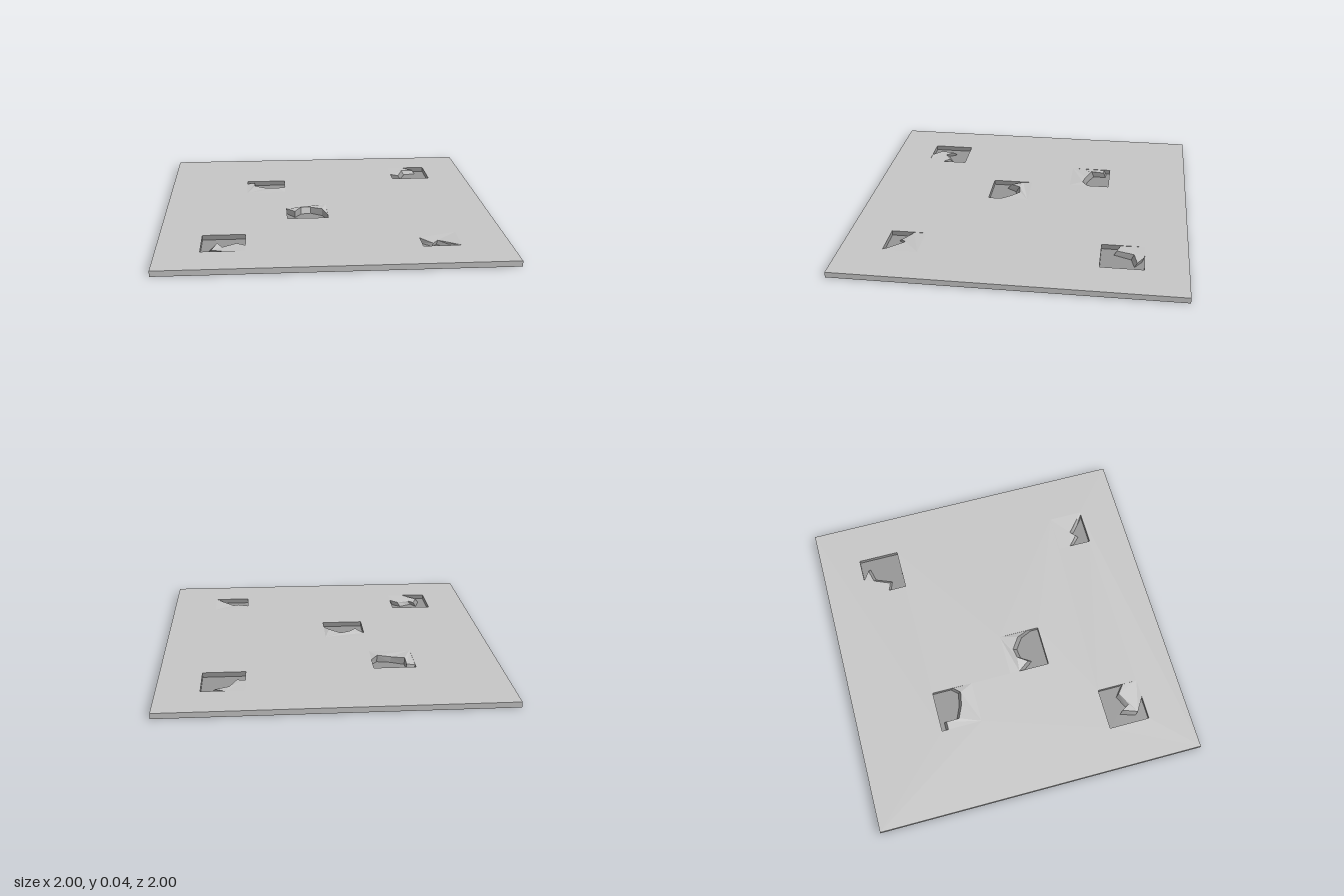
import * as THREE from 'three';

const TOP = 0.033, FLOOR = 0.004;

// Each pit: its rectangle [x0, z0, x1, z1], the broken edge across it [x, z], the height of
// that edge, the pit corners still covered by plates, and the lean of the broken face.
const pits = [
  {
    rect: [-0.5, -0.5, -0.25, -0.25], covered: [2, 3], crest: 0.037, lean: [0.005, -0.015],
    edge: [[-0.5, -0.46], [-0.45, -0.46], [-0.45, -0.38], [-0.37, -0.345], [-0.29, -0.33], [-0.25, -0.37]],
  },
  {
    rect: [0.5, -0.75, 0.75, -0.5], covered: [0], crest: 0.028, lean: [0.015, 0.015],
    edge: [[0.5, -0.61], [0.55, -0.59], [0.59, -0.69], [0.67, -0.71], [0.61, -0.75]],
  },
  {
    rect: [-0.25, 0, 0, 0.25], covered: [1, 0], crest: 0.038, lean: [0, 0.025],
    edge: [[-0.25, 0.06], [-0.2, 0.13], [-0.16, 0.07], [-0.1, 0.06], [-0.03, 0.11], [0, 0.18]],
  },
  {
    rect: [-0.75, 0.5, -0.5, 0.75], covered: [2], crest: 0.024, lean: [-0.015, -0.02],
    edge: [[-0.61, 0.75], [-0.69, 0.7], [-0.66, 0.61], [-0.63, 0.66], [-0.55, 0.62], [-0.5, 0.66]],
  },
  {
    rect: [0.5, 0.545, 0.72, 0.75], covered: [2, 1, 0], crest: 0.021, lean: [-0.01, 0.015],
    edge: [[0.5, 0.615], [0.57, 0.675], [0.6, 0.645], [0.65, 0.69], [0.705, 0.75]],
  },
];

const cornersOf = ([x0, z0, x1, z1]) => [[x0, z0], [x1, z0], [x1, z1], [x0, z1]];
const flat = (points) => points.map(([x, z]) => new THREE.Vector2(x, -z));

// Box without its top face
function openBox([x0, z0, x1, z1], bottom) {
  const g = new THREE.BoxGeometry(x1 - x0, TOP - bottom, z1 - z0);
  g.translate((x0 + x1) / 2, (TOP + bottom) / 2, (z0 + z1) / 2);
  const index = Array.from(g.index.array);
  index.splice(12, 6);
  g.setIndex(index);
  g.clearGroups();
  return g;
}

// Flat-shaded faces from triples of points, turned to face up
function facets(triangles) {
  const points = triangles.flatMap(([a, b, c]) => {
    const n = b.clone().sub(a).cross(c.clone().sub(a));
    return n.y < 0 ? [a, c, b] : [a, b, c];
  });
  const g = new THREE.BufferGeometry().setFromPoints(points);
  g.computeVertexNormals();
  return g;
}

export function createModel() {
  const group = new THREE.Group();
  const stone = new THREE.MeshStandardMaterial({ color: 0xc4c4c4, side: THREE.DoubleSide });
  stone.name = 'light stone';
  const earth = new THREE.MeshStandardMaterial({ color: 0x949494, side: THREE.DoubleSide });
  earth.name = 'dark stone';
  const add = (parent, name, geometry, material) => {
    const mesh = new THREE.Mesh(geometry, material);
    mesh.name = name;
    parent.add(mesh);
  };

  // Slab sides and underside, then the top surface with the pits cut out
  const slab = [-1, -1, 1, 1];
  add(group, 'slabBody', openBox(slab, 0), stone);
  const top = new THREE.Shape(flat(cornersOf(slab)));
  pits.forEach(({ rect }) => top.holes.push(new THREE.Path(flat(cornersOf(rect)))));
  add(group, 'slabTop', new THREE.ShapeGeometry(top).rotateX(-Math.PI / 2).translate(0, TOP, 0), stone);

  pits.forEach(({ rect, covered, crest, lean, edge }, n) => {
    const pit = new THREE.Group();
    pit.name = 'pit' + (n + 1);
    group.add(pit);

    // Sunken floor and straight walls
    add(pit, 'pitHollow', openBox(rect, FLOOR), earth);

    // Tilted plates between the broken edge and the covered corners
    const last = edge.length - 1;
    const brink = edge.map(([x, z], i) => {
      const y = i === 0 || i === last ? 0.03 : crest + (i % 2 ? -0.003 : 0.003);
      return new THREE.Vector3(x, y, z);
    });
    const corners = covered.map((c) => cornersOf(rect)[c]);
    const outline = [...brink, ...corners.map(([x, z]) => new THREE.Vector3(x, TOP, z))];
    const faces = THREE.ShapeUtils.triangulateShape(flat([...edge, ...corners]), []);
    add(pit, 'crackedPlates', facets(faces.map((f) => f.map((i) => outline[i]))), stone);

    // Broken face sloping from the edge down to the floor, kept inside the pit
    const foot = edge.map(([x, z]) => new THREE.Vector3(
      THREE.MathUtils.clamp(x + lean[0], rect[0], rect[2]), FLOOR,
      THREE.MathUtils.clamp(z + lean[1], rect[1], rect[3])));
    const slopes = edge.slice(1).flatMap((_, i) => [
      [brink[i], foot[i], brink[i + 1]],
      [brink[i + 1], foot[i], foot[i + 1]],
    ]);
    add(pit, 'brokenFace', facets(slopes), earth);
  });
  return group;
}
